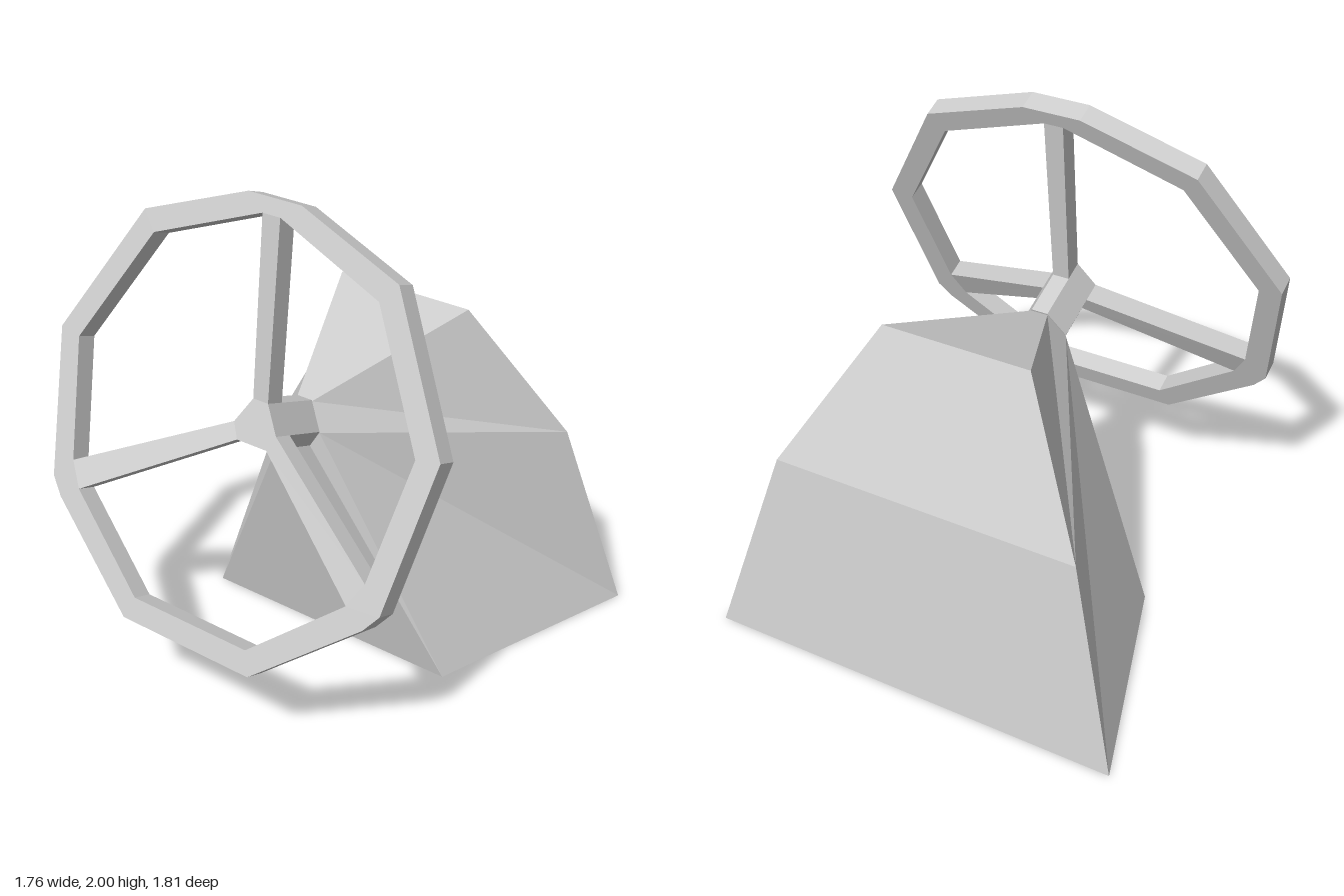
import * as THREE from 'three';

const metal = new THREE.MeshStandardMaterial({ color: 0xcccccc, flatShading: true, side: THREE.DoubleSide });
metal.name = 'plain grey';

// Flat-sided surface from polygons, each split as a fan from its first corner
function panels(name, polygons) {
  const pos = [];
  for (const p of polygons) {
    for (let i = 1; i < p.length - 1; i++) pos.push(...p[0], ...p[i], ...p[i + 1]);
  }
  const geo = new THREE.BufferGeometry();
  geo.setAttribute('position', new THREE.Float32BufferAttribute(pos, 3));
  geo.computeVertexNormals();
  const mesh = new THREE.Mesh(geo, metal);
  mesh.name = name;
  return mesh;
}

// Right half of an outline (bottom to top) mirrored into a closed ring
const ring = half => [...half, ...[...half].reverse().map(([x, y]) => [-x, y])];
const vec = pts => pts.map(([x, y]) => new THREE.Vector2(x, y));

// Extrusion of an outline between two depths
function slab(name, outline, hole, back, front) {
  const shape = new THREE.Shape(vec(outline));
  if (hole) shape.holes.push(new THREE.Path(vec(hole)));
  const geo = new THREE.ExtrudeGeometry(shape, { depth: front - back, bevelEnabled: false });
  geo.translate(0, 0, back);
  const mesh = new THREE.Mesh(geo, metal);
  mesh.name = name;
  return mesh;
}

export function createModel() {
  const model = new THREE.Group();
  model.name = 'steeringColumn';

  // Wheel, built upright and then leaned back
  const wheel = new THREE.Group();
  wheel.name = 'wheel';
  wheel.position.set(0, 1.2, 0.62);
  wheel.rotation.x = -THREE.MathUtils.degToRad(20);
  model.add(wheel);

  const thick = 0.085, hubFront = -0.163;
  const outer = ring([[0.306, -0.84], [0.73, -0.495], [0.785, -0.425], [0.88, 0.155], [0.575, 0.685], [0.12, 0.851]]);
  const inner = ring([[0.272, -0.748], [0.645, -0.436], [0.7, -0.335], [0.784, 0.138], [0.512, 0.61], [0.04, 0.79]]);
  const hub = ring([[0.07, -0.068], [0.1, -0.005], [0.035, 0.102]]);

  wheel.add(slab('rim', outer, inner, -thick, 0));
  wheel.add(slab('hubAndShaft', hub, null, -0.44, hubFront));

  // Three spokes from alternate hub edges out to the rim
  ['leftSpoke', 'topSpoke', 'rightSpoke'].forEach((name, k) => {
    const edge = (p, z) => [[...p, z], [...p, z - thick]];
    const [aF, aB] = edge(hub[2 * k], hubFront);
    const [bF, bB] = edge(hub[2 * k + 1], hubFront);
    const [cF, cB] = edge(inner[4 * k + 1], 0);
    const [dF, dB] = edge(inner[4 * k + 2], 0);
    wheel.add(panels(name, [
      [aF, cF, dF, bF],
      [bB, dB, cB, aB],
      [aF, aB, cB, cF],
      [bB, bF, dF, dB],
    ]));
  });

  // Housing: open underneath, narrowing to the shaft
  const neckTop = [0.035, 1.14, 0.172];
  const neckMid = [0.1, 1.04, 0.208];
  const neckLow = [0.07, 0.985, 0.23];
  const ridge = [0.31, 1.36, -0.48];
  const shoulder = [0.64, 0.8, -0.755];
  const backFoot = [0.87, 0, -0.905];
  const frontFoot = [0.58, 0, 0.03];
  const flip = ([x, y, z]) => [-x, y, z];

  // Panel spanning both sides between an upper and a lower corner
  const span = (up, low) => [up, low, flip(low), flip(up)];
  const sides = [
    [neckTop, neckMid, shoulder, ridge],
    [neckMid, neckLow, frontFoot, backFoot, shoulder],
  ];
  model.add(panels('housing', [
    ...sides,
    ...sides.map(p => [p[0], ...p.slice(1).reverse()].map(flip)),
    span(neckLow, frontFoot).reverse(),
    span(ridge, shoulder),
    span(shoulder, backFoot),
    span(neckTop, ridge),
  ]));

  return model;
}
